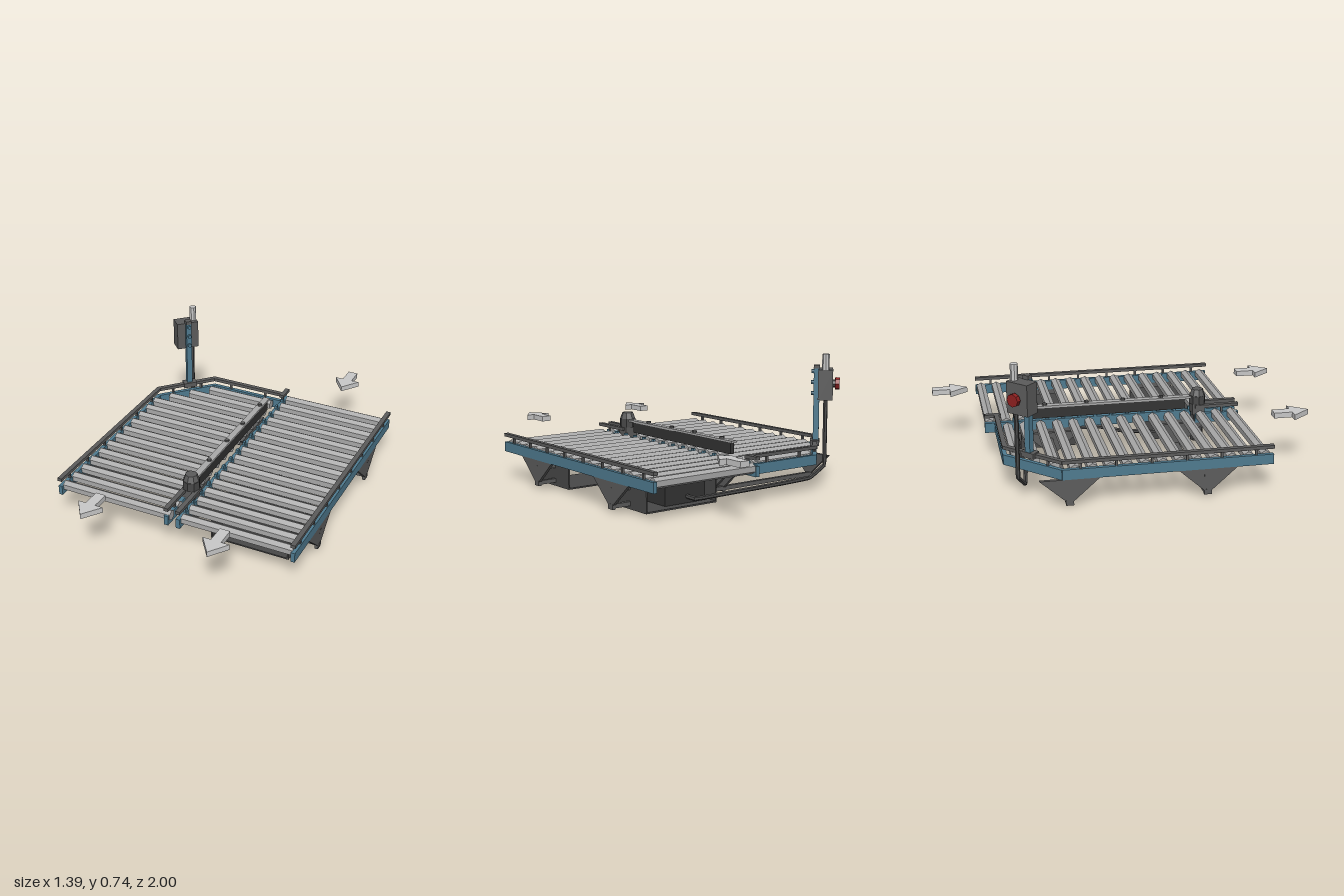
import * as THREE from 'three';

const mat = (name, color, side = THREE.FrontSide) =>
  new THREE.MeshStandardMaterial({ name, color, side, flatShading: true });
const blue = mat('steelBlue', 0x4f7b90);
const steel = mat('rollerSteel', 0xa9a9a9);
const grey = mat('railGrey', 0x5c5c5c);
const dark = mat('charcoal', 0x484848, THREE.DoubleSide);
const black = mat('nearBlack', 0x333333);
const light = mat('lightGrey', 0xc8c8c8);
const red = mat('signalRed', 0x8f2020);

export function createModel() {
  const model = new THREE.Group();
  model.name = 'rollerConveyor';

  const add = (name, geo, material, x = 0, y = 0, z = 0, parent = model) => {
    const m = new THREE.Mesh(geo, material);
    m.name = name;
    m.position.set(x, y, z);
    parent.add(m);
    return m;
  };
  const box = (name, material, w, h, d, x, y, z, parent) =>
    add(name, new THREE.BoxGeometry(w, h, d), material, x, y, z, parent);
  const cyl = (name, material, r, h, sides, x, y, z, parent) =>
    add(name, new THREE.CylinderGeometry(r, r, h, sides), material, x, y, z, parent);
  // horizontal bar between two [x, z] points
  const bar = (name, material, a, b, y, h, w, extra = 0) => {
    const dx = b[0] - a[0], dz = b[1] - a[1];
    const m = box(name, material, w, h, Math.hypot(dx, dz) + extra,
      (a[0] + b[0]) / 2, y, (a[1] + b[1]) / 2);
    m.rotation.y = Math.atan2(dx, dz);
    return m;
  };

  // Rollers: full set on one lane, trimmed by the cut corner on the other
  const roller = (x0, x1, z) => {
    const geo = new THREE.CylinderGeometry(0.029, 0.029, x1 - x0, 6, 1, false, Math.PI / 6);
    geo.rotateZ(Math.PI / 2);
    add('roller', geo, steel, (x0 + x1) / 2, 0.197, z);
  };
  for (let i = 0; i < 16; i++) {
    const z = -0.7 + i * 0.0908;
    roller(0.045, 0.672, z);
    if (i > 0) roller(Math.max(-0.672, -1.07 - z + 0.03), -0.02, z);
  }

  // Frame beams with guard rails standing on short posts
  const runs = [
    [[0.68, -0.73], [0.68, 0.7]],
    [[-0.68, 0.7], [-0.68, -0.4]],
    [[-0.68, -0.4], [-0.43, -0.665]],
    [[-0.43, -0.665], [0.03, -0.665]],
  ];
  for (const [a, b] of runs) {
    bar('frameBeam', blue, a, b, 0.1825, 0.055, 0.022, 0.004);
    bar('guardRail', grey, a, b, 0.25, 0.018, 0.026, 0.008);
    const n = Math.max(1, Math.round(Math.hypot(b[0] - a[0], b[1] - a[1]) / 0.19));
    for (let i = 0; i < n; i++) {
      const t = (i + 0.5) / n;
      box('railPost', grey, 0.012, 0.036, 0.012,
        a[0] + (b[0] - a[0]) * t, 0.225, a[1] + (b[1] - a[1]) * t);
    }
  }
  bar('centreBeam', blue, [0.034, -0.73], [0.034, 0.7], 0.1825, 0.055, 0.024);
  bar('centreBeamShort', blue, [-0.035, 0.45], [-0.035, 0.7], 0.1825, 0.055, 0.024);
  for (const [x, z0, z1] of [[-0.035, 0.45, 0.7], [0.034, 0.45, 0.7], [0.034, -0.73, -0.64]]) {
    bar('centreRail', grey, [x, z0], [x, z1], 0.25, 0.018, 0.026);
    box('railPost', grey, 0.012, 0.036, 0.012, x, 0.225, (z0 + z1) / 2 + 0.03);
  }
  for (let i = 0; i < 15; i++)
    box('rollerTab', blue, 0.014, 0.02, 0.02, 0.034, 0.218, -0.655 + i * 0.0908);

  // Central divider belt with cap and screws
  box('dividerBelt', black, 0.026, 0.062, 0.88, -0.003, 0.265, -0.045);
  box('dividerCap', steel, 0.036, 0.012, 0.93, -0.003, 0.3, -0.035);
  for (const z of [-0.4, -0.165, 0.04, 0.26])
    cyl('capScrew', grey, 0.013, 0.012, 6, -0.003, 0.311, z);

  // Upright drive motor
  const motor = new THREE.Group();
  motor.name = 'driveMotor';
  motor.position.set(-0.003, 0, 0.47);
  model.add(motor);
  cyl('motorBody', dark, 0.036, 0.17, 8, 0, 0.125, 0, motor);
  box('gearHousing', grey, 0.075, 0.06, 0.07, 0, 0.23, 0, motor);
  cyl('motorFlange', dark, 0.047, 0.05, 8, 0, 0.285, 0, motor);
  add('motorHood', new THREE.CylinderGeometry(0.032, 0.045, 0.036, 8), grey, 0, 0.327, 0, motor);

  // V-shaped legs joined by cross bars
  const vee = new THREE.Shape([[-0.155, 0.155], [-0.02, 0.035], [-0.02, 0.012],
    [0.02, 0.012], [0.02, 0.035], [0.155, 0.155]].map(p => new THREE.Vector2(...p)));
  const legGeo = new THREE.ExtrudeGeometry(vee, { depth: 0.018, bevelEnabled: false });
  legGeo.translate(0, 0, -0.009).rotateY(Math.PI / 2);
  for (const z of [0.355, -0.365]) {
    for (const x of [-0.68, -0.035, 0.035, 0.68]) add('leg', legGeo, grey, x, 0, z);
    for (const y of [0.03, 0.113]) {
      box('crossBar', grey, 0.82, 0.022, 0.022, -0.28, y, z - 0.01);
      box('crossBarStub', grey, 0.11, 0.022, 0.022, 0.635, y, z - 0.01);
    }
    // open-ended equipment bay
    const bay = new THREE.Group();
    bay.name = 'equipmentBay';
    bay.position.set(0.355, 0, z);
    model.add(bay);
    for (const y of [0.004, 0.156]) box('bayPlate', dark, 0.45, 0.008, 0.31, 0, y, 0, bay);
    for (const s of [-1, 1]) box('baySide', dark, 0.008, 0.144, 0.31, s * 0.221, 0.08, 0, bay);
  }
  box('controlUnit', black, 0.26, 0.1, 0.22, 0.3, 0.06, -0.365);

  // Operator post, turned 45 degrees on the cut corner (local -z points outward)
  const post = new THREE.Group();
  post.name = 'operatorPost';
  post.position.set(-0.547, 0, -0.55);
  post.rotation.y = Math.PI / 4;
  model.add(post);
  box('postBase', grey, 0.08, 0.03, 0.05, 0, 0.25, 0.005, post);
  box('postColumn', blue, 0.032, 0.4, 0.032, 0, 0.46, 0, post);
  box('postCap', grey, 0.034, 0.02, 0.034, 0, 0.666, 0, post);
  box('panelBox', grey, 0.13, 0.165, 0.08, 0, 0.5725, -0.048, post);
  cyl('beacon', light, 0.02, 0.085, 8, 0.045, 0.697, -0.048, post);
  for (const y of [0.52, 0.58, 0.64])
    cyl('postButton', blue, 0.011, 0.016, 8, 0, y, 0.022, post).rotation.x = Math.PI / 2;
  cyl('stopCollar', dark, 0.022, 0.02, 8, 0, 0.575, -0.096, post).rotation.x = Math.PI / 2;
  cyl('stopButton', red, 0.034, 0.024, 8, 0, 0.575, -0.112, post).rotation.x = Math.PI / 2;

  // Cables
  const cable = (name, pts, r) => {
    const path = new THREE.CurvePath();
    const v = pts.map(p => new THREE.Vector3(...p));
    for (let i = 1; i < v.length; i++) path.add(new THREE.LineCurve3(v[i - 1], v[i]));
    add(name, new THREE.TubeGeometry(path, 60, r, 6), dark);
  };
  cable('panelCable', [[-0.555, 0.5, -0.612], [-0.555, 0.13, -0.612], [-0.49, 0.06, -0.57],
    [-0.3, 0.048, -0.545], [0.28, 0.04, -0.535], [0.29, 0.045, -0.47]], 0.012);
  cable('motorCable', [[0.0, 0.1, 0.46], [0.06, 0.075, 0.33], [0.14, 0.06, 0.08],
    [0.25, 0.055, -0.05], [0.25, 0.06, -0.27]], 0.012);

  // Flow arrows pointing to the front
  const arrow = new THREE.Shape([[-0.028, 0.1], [0.028, 0.1], [0.028, 0], [0.073, 0],
    [0, -0.1], [-0.073, 0], [-0.028, 0]].map(p => new THREE.Vector2(...p)));
  const arrowGeo = new THREE.ExtrudeGeometry(arrow, { depth: 0.03, bevelEnabled: false });
  arrowGeo.rotateX(-Math.PI / 2);
  for (const [x, z] of [[0.355, -0.9], [-0.36, 0.9], [0.355, 0.9]])
    add('flowArrow', arrowGeo, light, x, 0.285, z);

  return model;
}
